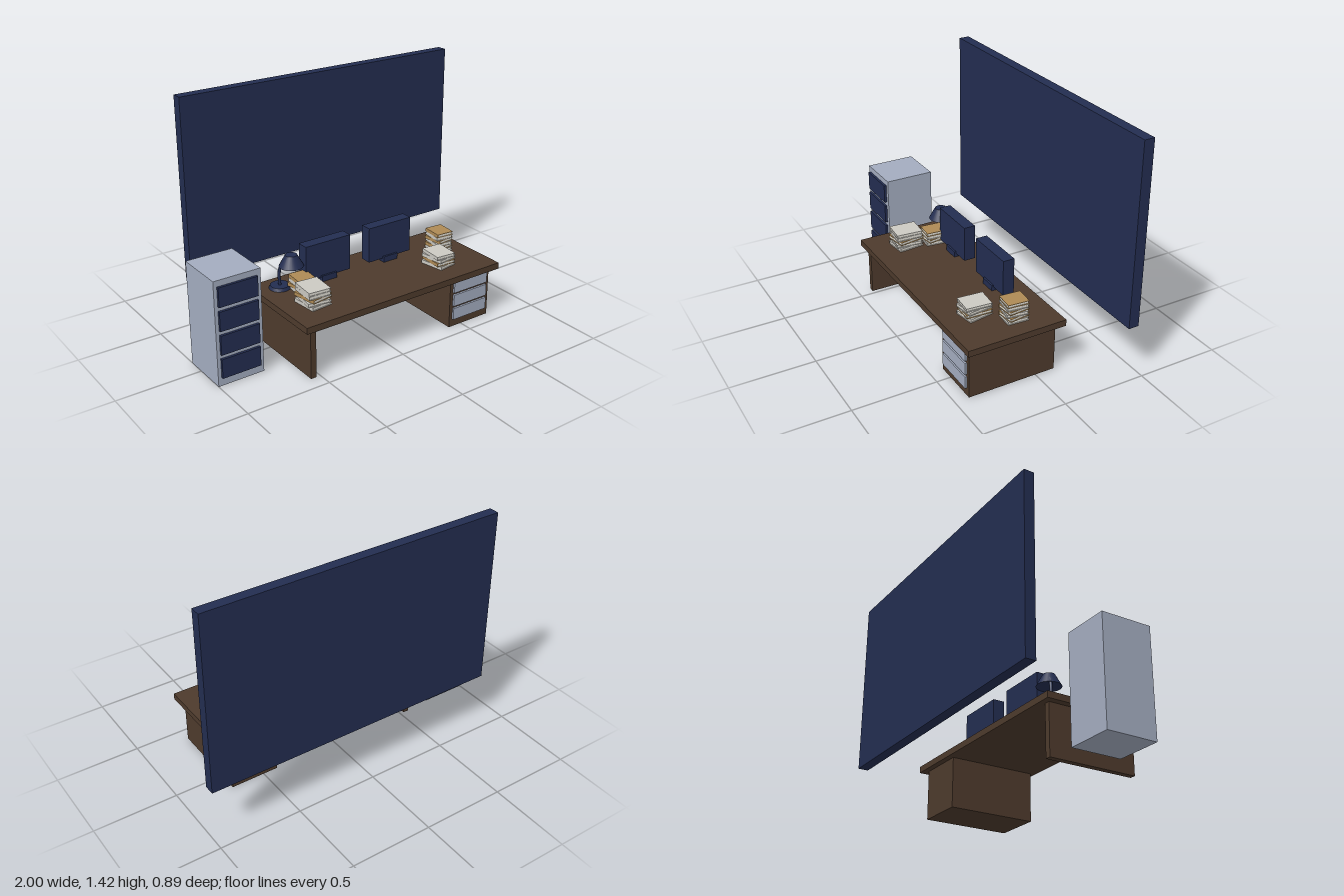
import * as THREE from 'three';

const mat = (name, color) => Object.assign(new THREE.MeshStandardMaterial({ color }), { name });

export function createModel() {
  const navy = mat('navy', 0x232d50);
  const brown = mat('dark wood', 0x4d3a2c);
  const grey = mat('blue grey metal', 0xa3acbf);
  const white = mat('paper', 0xdedbd2);
  const pale = mat('pale cover', 0xcbc9c2);
  const tan = mat('tan cover', 0xae8a55);
  const model = new THREE.Group();
  model.name = 'office';

  const group = (name, parent = model) => {
    const g = new THREE.Group();
    g.name = name;
    parent.add(g);
    return g;
  };
  // box given by its lower and upper limits on each axis
  const box = (parent, name, m, x0, x1, y0, y1, z0, z1) => {
    const mesh = new THREE.Mesh(new THREE.BoxGeometry(x1 - x0, y1 - y0, z1 - z0), m);
    mesh.position.set((x0 + x1) / 2, (y0 + y1) / 2, (z0 + z1) / 2);
    mesh.name = name;
    parent.add(mesh);
    return mesh;
  };

  // wall board
  box(model, 'wallBoard', navy, -0.84, 1, 0.342, 1.422, -0.447, -0.385);

  // filing cabinet with four drawers
  const cabinet = group('filingCabinet');
  box(cabinet, 'cabinetBody', grey, -1, -0.72, 0, 0.62, -0.105, 0.195);
  for (let i = 0; i < 4; i++) {
    const y = 0.05 + i * 0.14;
    box(cabinet, 'cabinetDrawer', navy, -0.98, -0.745, y, y + 0.115, 0.19, 0.21);
  }

  // desk with side panel and drawer pedestal
  const desk = group('desk');
  box(desk, 'deskTop', brown, -0.6, 0.755, 0.297, 0.335, -0.155, 0.445);
  box(desk, 'sidePanel', brown, -0.56, -0.525, 0, 0.297, -0.12, 0.415);
  box(desk, 'pedestal', brown, 0.41, 0.705, 0, 0.297, -0.12, 0.415);
  for (let i = 0; i < 3; i++) {
    const y = 0.048 + i * 0.087;
    box(desk, 'deskDrawer', grey, 0.432, 0.682, y, y + 0.073, 0.41, 0.427);
  }

  // two monitors
  for (const x of [-0.182, 0.257]) {
    const monitor = group('monitor');
    box(monitor, 'screen', navy, x - 0.151, x + 0.151, 0.357, 0.572, -0.036, 0.034);
    box(monitor, 'monitorStand', navy, x - 0.05, x + 0.05, 0.335, 0.37, -0.046, 0.046);
  }

  // desk lamp: round foot, bent arm, conical shade
  const lamp = group('lamp');
  const foot = new THREE.Mesh(new THREE.CylinderGeometry(0.055, 0.063, 0.018, 24), navy);
  foot.name = 'lampFoot';
  foot.position.set(-0.464, 0.344, -0.038);
  const armPath = new THREE.CatmullRomCurve3([
    new THREE.Vector3(-0.464, 0.345, -0.038),
    new THREE.Vector3(-0.464, 0.44, -0.038),
    new THREE.Vector3(-0.435, 0.505, -0.025),
    new THREE.Vector3(-0.404, 0.515, -0.01),
  ]);
  const arm = new THREE.Mesh(new THREE.TubeGeometry(armPath, 16, 0.009, 8), navy);
  arm.name = 'lampArm';
  const shade = new THREE.Mesh(new THREE.CylinderGeometry(0.034, 0.071, 0.068, 24), navy);
  shade.name = 'lampShade';
  shade.position.set(-0.404, 0.498, -0.008);
  lamp.add(foot, arm, shade);

  // book: page block between two covers with a spine on its left
  const addBook = (stack, w, h, d, y, turn, cover) => {
    const book = group('book', stack);
    const t = h * 0.16;
    box(book, 'pages', white, -w / 2 + 0.002, w / 2 - 0.004, t, h - t, -d / 2 + 0.003, d / 2 - 0.003);
    box(book, 'lowerCover', cover, -w / 2, w / 2, 0, t, -d / 2, d / 2);
    box(book, 'upperCover', cover, -w / 2, w / 2, h - t, h, -d / 2, d / 2);
    box(book, 'spine', cover, -w / 2, -w / 2 + 0.004, t, h - t, -d / 2, d / 2);
    book.position.y = y;
    book.rotation.y = turn;
  };
  // stacks: x, z, width, depth, top height, book count, tan cover on top
  const stacks = [
    [-0.415, 0.225, 0.135, 0.16, 0.442, 5, false],
    [-0.376, 0.058, 0.108, 0.125, 0.42, 4, true],
    [0.46, 0.243, 0.125, 0.152, 0.418, 4, false],
    [0.6, 0.08, 0.11, 0.125, 0.458, 6, true],
  ];
  const turns = [0.1, -0.12, 0.17, -0.06, 0.13, -0.15];
  stacks.forEach(([x, z, w, d, top, n, tanTop], s) => {
    const stack = group('bookStack');
    stack.position.set(x, 0.335, z);
    const h = (top - 0.335) / n;
    for (let i = 0; i < n; i++) {
      const fromTop = n - 1 - i;
      const isTan = tanTop ? fromTop % 2 === 0 : fromTop % 3 === 2;
      addBook(stack, w, h, d, i * h, fromTop === 0 ? -0.08 : turns[(i + s) % 6], isTan ? tan : pale);
    }
  });

  return model;
}
